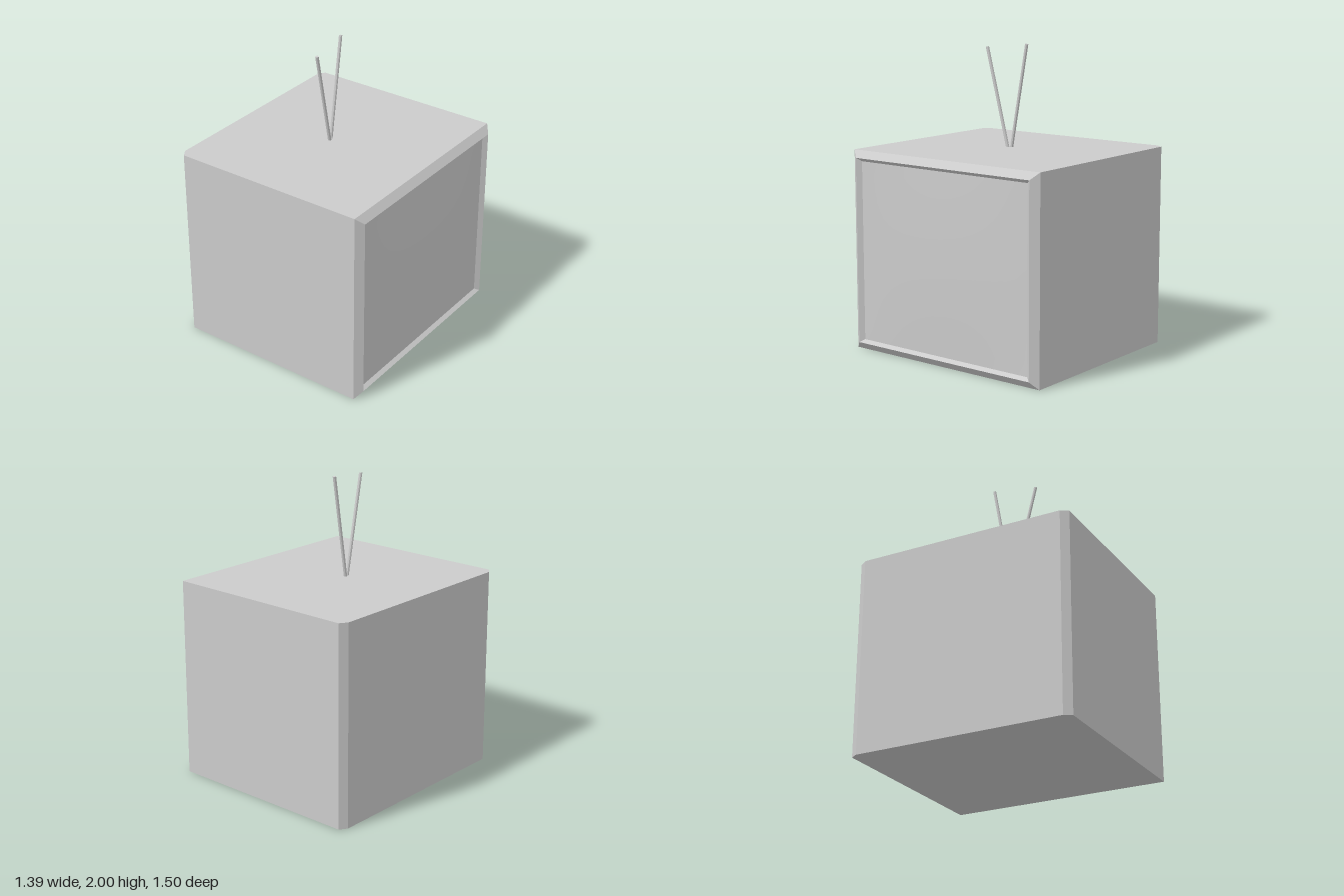
import * as THREE from 'three';

const material = new THREE.MeshStandardMaterial({ color: 0xcccccc });
const flatMaterial = new THREE.MeshStandardMaterial({ color: 0xcccccc, flatShading: true });

function addMesh(group, name, geometry, mat) {
  const mesh = new THREE.Mesh(geometry, mat);
  mesh.name = name;
  group.add(mesh);
  return mesh;
}

// Rectangular sections along x: [x, bottom, top, half depth]
function cabinetGeometry() {
  const rings = [
    [-0.697, 0, 1.323, 0.70],
    [-0.665, 0, 1.323, 0.75],
    [0.655, 0, 1.323, 0.75],
    [0.696, 0.05, 1.276, 0.70],
    [0.671, 0.07, 1.254, 0.67],
  ].map(([x, y0, y1, z]) => [[x, y0, z], [x, y1, z], [x, y1, -z], [x, y0, -z]]);

  const positions = [];
  const quad = (a, b, c, d) => positions.push(...a, ...b, ...c, ...a, ...c, ...d);
  quad(...rings[0]); // back panel
  for (let i = 0; i < rings.length - 1; i++) {
    for (let j = 0; j < 4; j++) {
      const k = (j + 1) % 4;
      quad(rings[i][j], rings[i + 1][j], rings[i + 1][k], rings[i][k]);
    }
  }
  const geometry = new THREE.BufferGeometry();
  geometry.setAttribute('position', new THREE.Float32BufferAttribute(positions, 3));
  geometry.computeVertexNormals();
  return geometry;
}

// Gently bulging glass, facing +x
function screenGeometry(width, height, bulge) {
  const geometry = new THREE.PlaneGeometry(width, height, 16, 16);
  const p = geometry.attributes.position;
  for (let i = 0; i < p.count; i++) {
    const u = (2 * p.getX(i)) / width;
    const v = (2 * p.getY(i)) / height;
    p.setZ(i, bulge * (1 - u * u) * (1 - v * v));
  }
  geometry.rotateY(Math.PI / 2);
  geometry.computeVertexNormals();
  return geometry;
}

// Thin rod between two points
function addRod(group, name, from, to, radius) {
  const a = new THREE.Vector3(...from);
  const b = new THREE.Vector3(...to);
  const dir = b.clone().sub(a);
  const rod = addMesh(group, name, new THREE.CylinderGeometry(radius, radius, dir.length(), 8), flatMaterial);
  rod.position.copy(a).add(b).multiplyScalar(0.5);
  rod.quaternion.setFromUnitVectors(new THREE.Vector3(0, 1, 0), dir.normalize());
}

export function createModel() {
  const model = new THREE.Group();
  model.name = 'television';

  addMesh(model, 'cabinet', cabinetGeometry(), flatMaterial);

  const screen = addMesh(model, 'screen', screenGeometry(1.34, 1.184, 0.012), material);
  screen.position.set(0.671, 0.662, 0);

  // V-shaped aerial
  const antenna = new THREE.Group();
  antenna.name = 'antenna';
  addRod(antenna, 'antennaRodFront', [-0.046, 1.3, 0.037], [-0.027, 1.97, 0.195], 0.011);
  addRod(antenna, 'antennaRodBack', [-0.054, 1.3, 0.02], [-0.062, 1.998, -0.1], 0.011);
  model.add(antenna);

  return model;
}
